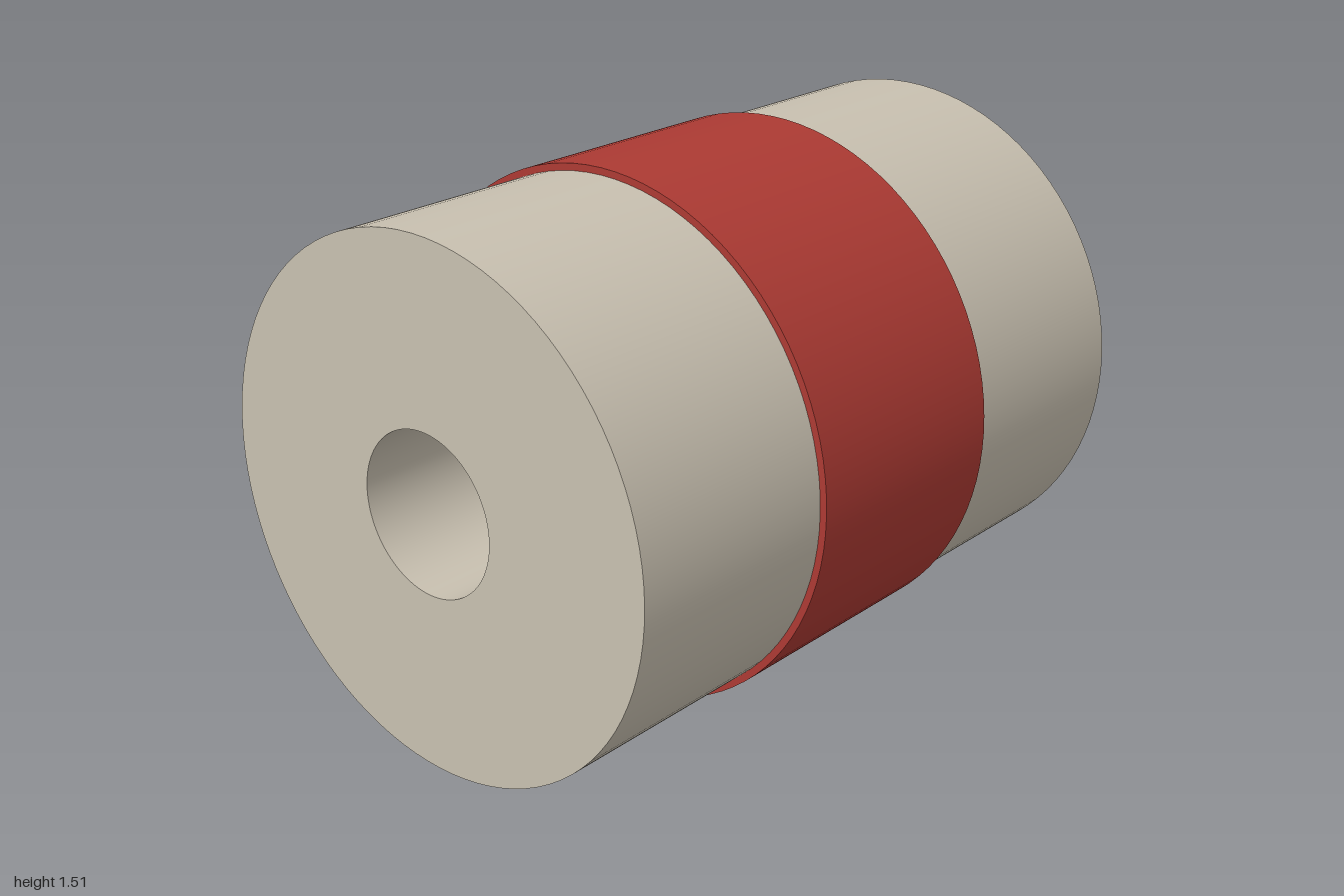
import * as THREE from 'three';
import { mergeGeometries } from 'three/addons/utils/BufferGeometryUtils.js';

const SEGMENTS = 96;
const AXIS_HEIGHT = 0.756;

// Hollow cylinder along x: each profile edge is its own lathe, so rims stay sharp
function tubeGeometry(inner, outer, halfLength) {
  const corners = [
    [inner, -halfLength], [outer, -halfLength], [outer, halfLength], [inner, halfLength],
  ].map(([r, y]) => new THREE.Vector2(r, y));
  const walls = corners.map((corner, i) =>
    new THREE.LatheGeometry([corner, corners[(i + 1) % corners.length]], SEGMENTS));
  const geometry = mergeGeometries(walls);
  geometry.normalizeNormals();
  return geometry.rotateZ(-Math.PI / 2);
}

export function createModel() {
  const stone = new THREE.MeshStandardMaterial({ color: 0xc8c0b0 });
  stone.name = 'warm grey';
  const red = new THREE.MeshStandardMaterial({ color: 0xac3a33 });
  red.name = 'brick red';

  const model = new THREE.Group();
  model.name = 'bandedCylinder';

  const addTube = (name, material, inner, outer, halfLength) => {
    const mesh = new THREE.Mesh(tubeGeometry(inner, outer, halfLength), material);
    mesh.name = name;
    mesh.position.y = AXIS_HEIGHT;
    model.add(mesh);
  };

  // Main body with a bore right through
  addTube('body', stone, 0.225, 0.736, 1);
  // Raised band round the middle, its inner wall sunk into the body
  addTube('band', red, 0.73, 0.756, 0.35);

  return model;
}
